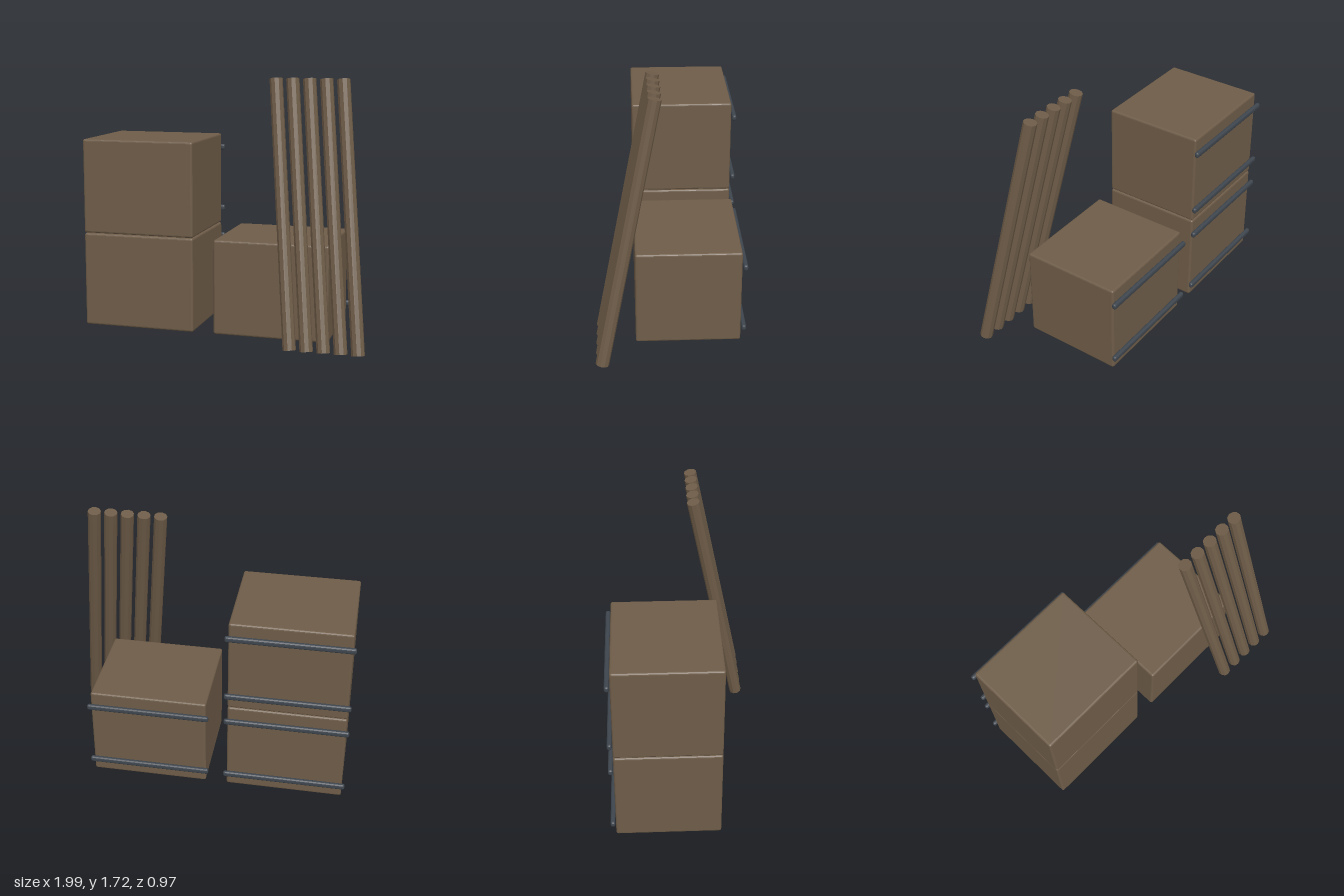
import * as THREE from 'three';
import { RoundedBoxGeometry } from 'three/addons/geometries/RoundedBoxGeometry.js';

export function createModel() {
  const model = new THREE.Group();
  model.name = 'cratesAndPoles';
  const wood = new THREE.MeshStandardMaterial({ color: 0x6e5c48, flatShading: true });
  const iron = new THREE.MeshStandardMaterial({ color: 0x3e454d, flatShading: true });

  const crateGeometry = new RoundedBoxGeometry(0.776, 0.64, 0.677, 2, 0.014);
  const railGeometry = new RoundedBoxGeometry(0.817, 0.04, 0.031, 2, 0.014);

  // Crate with two iron rails across its back
  function addCrate(name, x, bottom) {
    const group = new THREE.Group();
    group.name = name;
    const body = new THREE.Mesh(crateGeometry, wood);
    body.name = 'crateBody';
    body.position.set(0, 0.32, -0.112);
    group.add(body);
    for (const y of [0.1, 0.541]) {
      const rail = new THREE.Mesh(railGeometry, iron);
      rail.name = 'backRail';
      rail.position.set(0, y, -0.469);
      group.add(rail);
    }
    group.position.set(x, bottom, 0);
    model.add(group);
  }
  addCrate('lowerCrate', -0.59, 0.014);
  addCrate('upperCrate', -0.59, 0.657);
  addCrate('singleCrate', 0.328, 0.014);

  // Row of parallel poles leaning back and to one side
  const foot = new THREE.Vector3(0.51, 0.014, 0.44);
  const tip = new THREE.Vector3(0.33, 1.712, 0.1);
  const axis = tip.clone().sub(foot);
  const poleGeometry = new THREE.CylinderGeometry(0.043, 0.043, axis.length(), 10);
  const lean = new THREE.Quaternion().setFromUnitVectors(
    new THREE.Vector3(0, 1, 0), axis.clone().normalize());
  for (let i = 0; i < 5; i++) {
    const pole = new THREE.Mesh(poleGeometry, wood);
    pole.name = 'leaningPole';
    pole.position.copy(foot).add(tip).multiplyScalar(0.5);
    pole.position.x += i * 0.11;
    pole.quaternion.copy(lean);
    model.add(pole);
  }
  return model;
}
